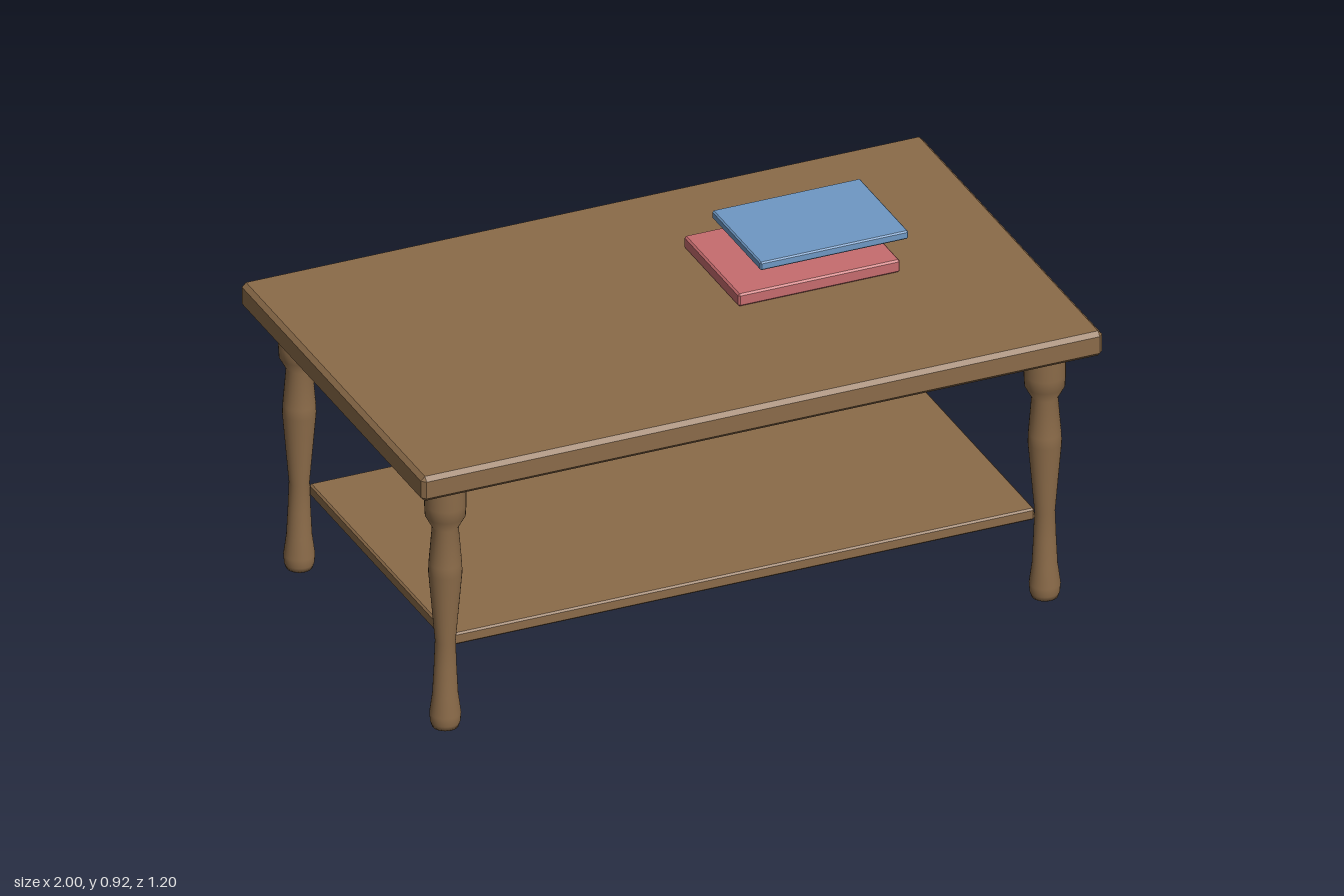
import * as THREE from 'three';
import { ConvexGeometry } from 'three/addons/geometries/ConvexGeometry.js';

const material = (name, color) => {
  const m = new THREE.MeshStandardMaterial({ color });
  m.name = name;
  return m;
};

// Box with chamfered edges, given by its min and max corners
function chamferBox(name, min, max, bevel, mat) {
  const half = max.map((v, i) => (v - min[i]) / 2);
  const points = [];
  for (let axis = 0; axis < 3; axis++)
    for (const sx of [-1, 1]) for (const sy of [-1, 1]) for (const sz of [-1, 1]) {
      const p = [sx, sy, sz].map((s, i) => s * (half[i] - (i === axis ? 0 : bevel)));
      points.push(new THREE.Vector3(...p));
    }
  const mesh = new THREE.Mesh(new ConvexGeometry(points), mat);
  mesh.position.set(...max.map((v, i) => (v + min[i]) / 2));
  mesh.name = name;
  return mesh;
}

export function createModel() {
  const wood = material('wood', 0x8b6b49);
  const red = material('red cover', 0xc66c6e);
  const blue = material('blue cover', 0x6e98c4);

  const table = new THREE.Group();
  table.name = 'coffeeTable';

  // Top and lower shelf
  table.add(chamferBox('tableTop', [-1, 0.765, -0.6], [1, 0.84, 0.6], 0.012, wood));
  table.add(chamferBox('shelf', [-0.86, 0.225, -0.46], [0.86, 0.26, 0.46], 0.005, wood));

  // Turned legs: radius, height
  const profile = [
    [0, 0], [0.036, 0], [0.041, 0.015], [0.043, 0.04], [0.035, 0.1], [0.031, 0.18],
    [0.028, 0.26], [0.046, 0.47], [0.045, 0.5], [0.036, 0.61], [0.055, 0.645],
    [0.057, 0.68], [0.057, 0.77],
  ].map(([r, y]) => new THREE.Vector2(r, y));
  const legGeometry = new THREE.LatheGeometry(profile, 28);
  for (const x of [-0.88, 0.88]) for (const z of [-0.48, 0.48]) {
    const leg = new THREE.Mesh(legGeometry, wood);
    leg.name = (z > 0 ? 'front' : 'back') + (x > 0 ? 'Left' : 'Right') + 'Leg';
    leg.position.set(x, 0, z);
    table.add(leg);
  }

  // Two books
  table.add(chamferBox('lowerBook', [0.16, 0.842, -0.28], [0.635, 0.88, 0.08], 0.005, red));
  table.add(chamferBox('upperBook', [0.26, 0.89, -0.32], [0.695, 0.915, 0], 0.004, blue));

  return table;
}
